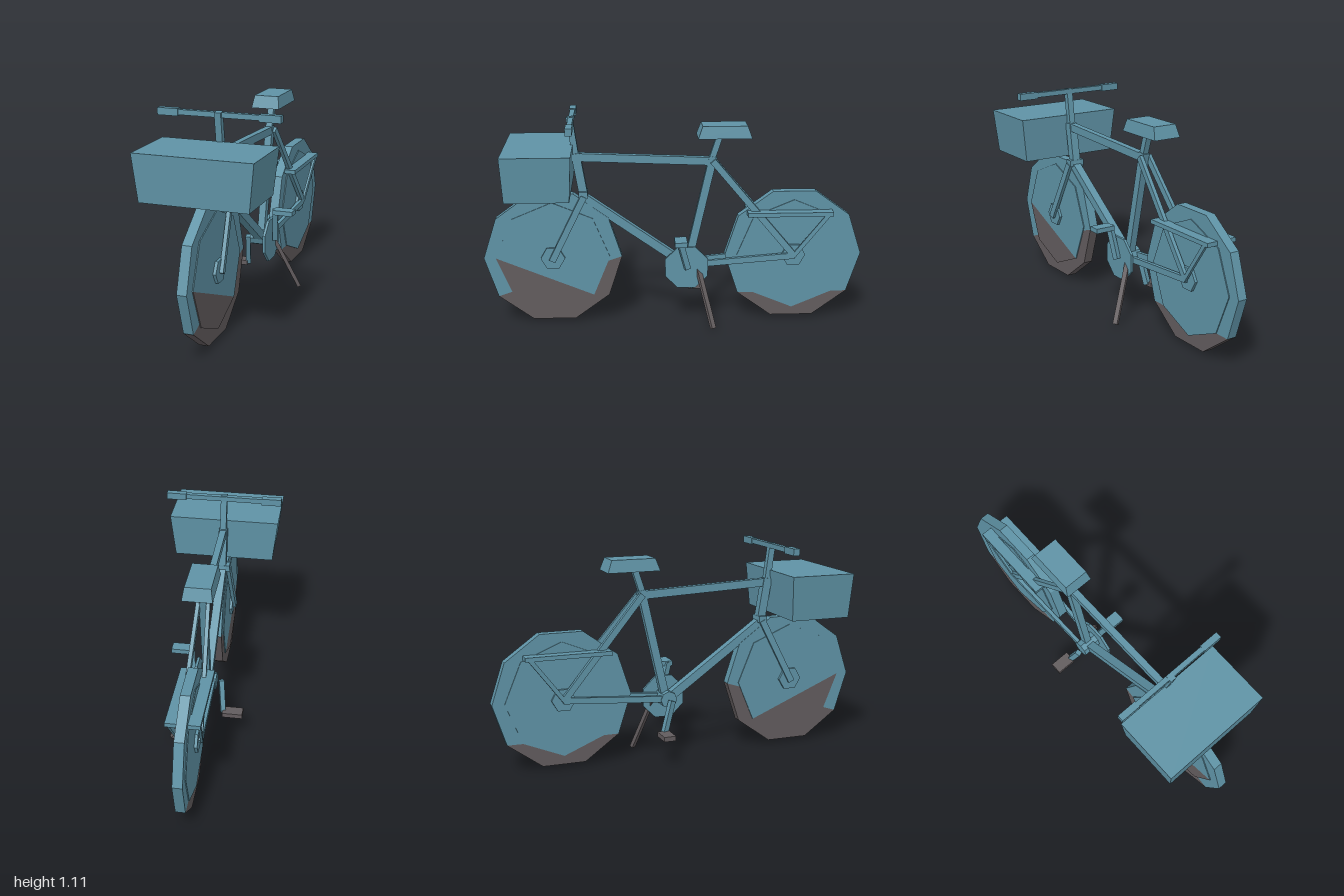
import * as THREE from 'three';

const blue = new THREE.MeshStandardMaterial({ color: 0x5f93a6, flatShading: true });
const dark = new THREE.MeshStandardMaterial({ color: 0x625c5e, flatShading: true });

export function createModel() {
  const root = new THREE.Group();

  function add(name, geo, mat = blue, parent = root) {
    const mesh = new THREE.Mesh(geo, mat);
    mesh.name = name;
    parent.add(mesh);
    return mesh;
  }

  // Square bar between two points; w is its width across x, h its depth
  function bar(name, a, b, w, h = w, mat = blue) {
    const p = new THREE.Vector3(...a), q = new THREE.Vector3(...b);
    const mesh = add(name, new THREE.BoxGeometry(w, h, p.distanceTo(q)), mat);
    mesh.position.copy(p).add(q).multiplyScalar(0.5);
    mesh.lookAt(q);
    return mesh;
  }

  function block(name, size, pos, mat = blue) {
    const mesh = add(name, new THREE.BoxGeometry(...size), mat);
    mesh.position.set(...pos);
    return mesh;
  }

  // Box whose bottom is scaled against its top
  function taperedBox(name, size, pos, sx, sz) {
    const geo = new THREE.BoxGeometry(...size);
    const p = geo.attributes.position;
    for (let i = 0; i < p.count; i++) {
      if (p.getY(i) < 0) p.setXYZ(i, p.getX(i) * sx, p.getY(i), p.getZ(i) * sz);
    }
    geo.computeVertexNormals();
    add(name, geo).position.set(...pos);
  }

  // Slab standing in the z-y plane, made from corners "from" to "to" of an n-sided polygon
  function slab(n, radius, width, from = 0, to = n - 1, turn = 0) {
    const points = [];
    for (let i = from; i <= to; i++) {
      const a = (i / n) * Math.PI * 2 + turn;
      points.push(new THREE.Vector2(Math.cos(a) * radius, Math.sin(a) * radius));
    }
    const geo = new THREE.ExtrudeGeometry(new THREE.Shape(points), { depth: width, bevelEnabled: false });
    return geo.translate(0, 0, -width / 2).rotateY(-Math.PI / 2);
  }

  // Wheels: ten-sided tyre, eight-sided disc, six-sided hub, with a dark lower part
  function wheel(name, z, darkFrom, darkTo, discSplit) {
    const g = new THREE.Group();
    g.name = name;
    g.position.set(0, 0.372, z);
    root.add(g);
    add('tyreUpper', slab(10, 0.3635, 0.05, darkTo - 10, darkFrom), blue, g);
    add('tyreLower', slab(10, 0.3635, 0.05, darkFrom, darkTo), dark, g);
    if (discSplit) {
      add('discUpper', slab(8, 0.3, 0.06, 0, 5), blue, g);
      add('discLower', slab(8, 0.3, 0.06, 5, 8), dark, g);
    } else {
      add('disc', slab(8, 0.3, 0.06), blue, g);
    }
    add('hub', slab(6, 0.064, 0.09), blue, g);
  }
  wheel('frontWheel', 0.636, 5, 9, true);
  wheel('rearWheel', -0.636, 6, 9, false);

  // Frame tubes
  bar('topTube', [0, 0.91, 0.51], [0, 0.88, -0.21], 0.035, 0.042);
  bar('downTube', [0, 0.7, 0.475], [0, 0.335, -0.04], 0.045, 0.045);
  bar('seatTube', [0, 0.905, -0.207], [0, 0.32, -0.075], 0.038, 0.042);
  bar('headTube', [0, 0.93, 0.505], [0, 0.69, 0.465], 0.045, 0.045);
  bar('stem', [0, 1.12, 0.533], [0, 0.9, 0.502], 0.033, 0.033);
  bar('seatPost', [0, 0.86, -0.19], [0, 1.03, -0.245], 0.032, 0.032);
  block('forkCrown', [0.085, 0.035, 0.045], [0, 0.712, 0.47]);
  const bracket = add('bottomBracket', slab(8, 0.045, 0.1));
  bracket.position.set(0, 0.32, -0.07);

  // Paired fork blades, stays and rack struts
  for (const s of [-1, 1]) {
    bar('forkBlade', [s * 0.037, 0.705, 0.468], [s * 0.053, 0.36, 0.64], 0.02, 0.034);
    bar('seatStay', [s * 0.025, 0.885, -0.205], [s * 0.053, 0.37, -0.64], 0.02, 0.034);
    bar('chainStay', [s * 0.035, 0.325, -0.1], [s * 0.053, 0.372, -0.64], 0.02, 0.032);
    bar('rackStrut', [s * 0.077, 0.605, -0.815], [s * 0.058, 0.37, -0.635], 0.013, 0.022);
    block('handlebarGrip', [0.106, 0.036, 0.034], [s * 0.258, 1.104, 0.524]);
  }
  block('handlebar', [0.42, 0.026, 0.026], [0, 1.105, 0.524]);
  block('rearRack', [0.17, 0.022, 0.45], [0, 0.605, -0.612]);

  // Saddle and basket
  taperedBox('saddle', [0.13, 0.064, 0.232], [0, 1.043, -0.263], 1.16, 1.2);
  taperedBox('basket', [0.594, 0.235, 0.35], [0, 0.857, 0.693], 0.912, 0.93);
  block('basketSupport', [0.04, 0.05, 0.022], [0, 0.73, 0.69]);

  // Chainring, cranks and pedals
  add('chainring', slab(8, 0.122, 0.014, 0, 7, Math.PI / 8)).position.set(0.055, 0.316, -0.067);
  bar('leftCrank', [0.077, 0.315, -0.072], [0.092, 0.49, -0.025], 0.026, 0.03);
  bar('rightCrank', [-0.073, 0.32, -0.062], [-0.09, 0.15, -0.112], 0.026, 0.03);
  block('leftPedal', [0.108, 0.025, 0.064], [0.14, 0.483, -0.032]);
  block('rightPedal', [0.108, 0.025, 0.064], [-0.143, 0.153, -0.118], dark);

  // Kickstand
  bar('kickstand', [0.045, 0.31, -0.128], [0.173, 0.012, -0.203], 0.025, 0.02, dark);

  return root;
}
